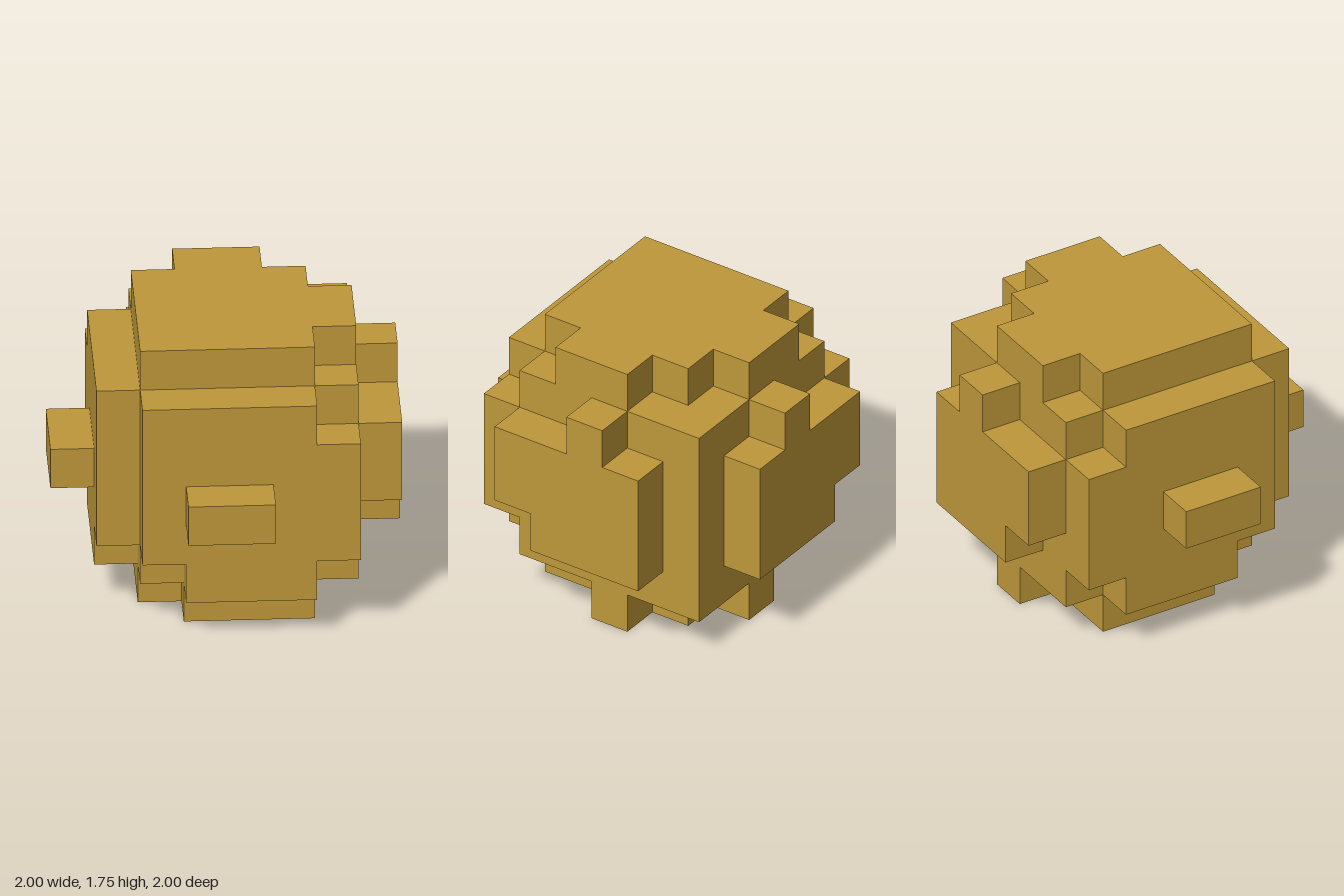
import * as THREE from 'three';

const U = 0.25; // one block

export function createModel() {
  const model = new THREE.Group();
  model.name = 'blockyBall';
  const ochre = new THREE.MeshStandardMaterial({ color: 0xbe983a });
  ochre.name = 'ochre';

  function add(name, geometry, x, y, z) {
    const mesh = new THREE.Mesh(geometry, ochre);
    mesh.name = name;
    mesh.position.set(x * U, y * U, z * U);
    model.add(mesh);
    return mesh;
  }

  // Box from min and max corners, in blocks
  function box(name, [x0, y0, z0], [x1, y1, z1]) {
    const geometry = new THREE.BoxGeometry((x1 - x0) * U, (y1 - y0) * U, (z1 - z0) * U);
    add(name, geometry, (x0 + x1) / 2, (y0 + y1) / 2, (z0 + z1) / 2);
  }

  // Stepped plate, one block thick; the outline lies in the plane across the axis
  function plate(name, axis, offset, outline) {
    const points = [];
    for (let i = 0; i < outline.length; i += 2) {
      points.push(new THREE.Vector2(outline[i] * U, outline[i + 1] * U));
    }
    const geometry = new THREE.ExtrudeGeometry(new THREE.Shape(points), { depth: U, bevelEnabled: false });
    const mesh = add(name, geometry, 0, 0, 0);
    mesh.position[axis] = offset * U;
    if (axis === 'x') mesh.rotation.y = -Math.PI / 2; // outline is (z, y), grows to -x
    if (axis === 'y') mesh.rotation.x = Math.PI / 2; // outline is (x, z), grows to -y
  }

  // Solid middle, five blocks each way
  box('core', [-2, 1, -3], [3, 6, 2]);

  // Front and back
  plate('frontPlate', 'z', 2, [-1, 1, 2, 1, 2, 2, 3, 2, 3, 5, 2, 5, 2, 6, -2, 6, -2, 2, -1, 2]);
  plate('backPlate', 'z', -4, [-1, 2, 2, 2, 2, 5, 1, 5, 1, 6, 0, 6, 0, 5, -2, 5, -2, 3, -1, 3]);

  // Sides
  plate('leftPlate', 'x', 4, [-2, 2, 1, 2, 1, 3, 2, 3, 2, 5, 0, 5, 0, 6, -1, 6, -1, 5, -2, 5]);
  plate('rightPlate', 'x', -2, [-2, 1, 1, 1, 1, 2, 2, 2, 2, 6, -2, 6, -2, 5, -3, 5, -3, 2, -2, 2]);

  // Top and bottom
  plate('topPlate', 'y', 7,
    [-1, -3, 1, -3, 1, -2, 2, -2, 2, -1, 3, -1, 3, 1, 2, 1, 2, 2, -2, 2, -2, -2, -1, -2]);
  plate('bottomPlate', 'y', 1,
    [0, -3, 1, -3, 1, -2, 2, -2, 2, -1, 3, -1, 3, 0, 2, 0, 2, 2, -1, 2, -1, 1, -2, 1, -2, -2, 0, -2]);

  // Small bars standing out
  box('frontBar', [-1, 3, 3], [1, 4, 4]);
  box('rightBar', [-4, 3, -1], [-3, 4, 1]);

  return model;
}
